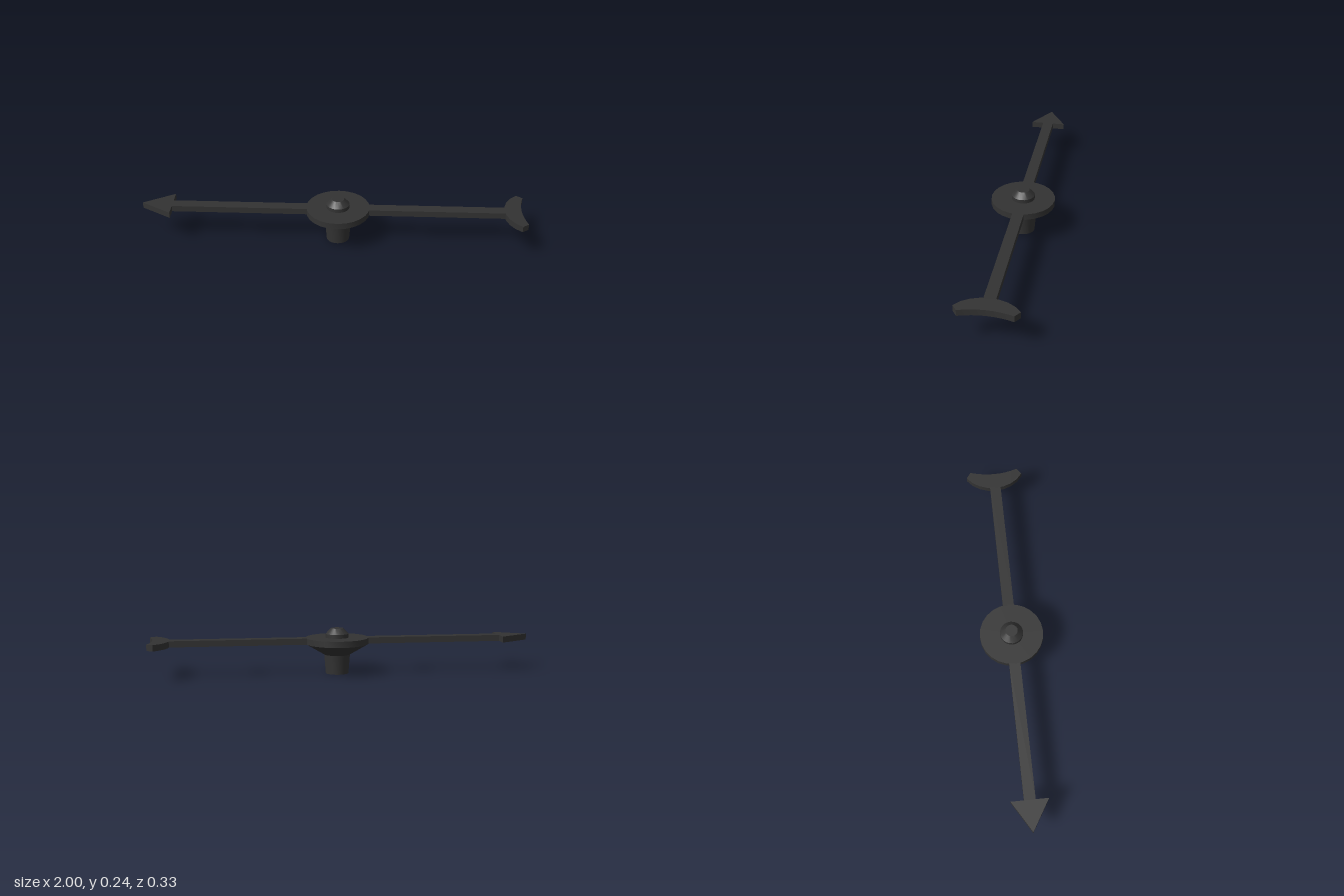
import * as THREE from 'three';
import { toCreasedNormals } from 'three/addons/utils/BufferGeometryUtils.js';

export function createModel() {
  const group = new THREE.Group();
  const material = new THREE.MeshStandardMaterial({ color: 0x333333 });
  const hubX = 0.027, bottom = 0.157, top = 0.189;

  const add = (name, geometry) => {
    const mesh = new THREE.Mesh(geometry, material);
    mesh.name = name;
    group.add(mesh);
    return mesh;
  };

  // Turned parts share the hub axis
  const turned = (name, profile, sides) => {
    const points = profile.map(([r, y]) => new THREE.Vector2(r, y));
    const geometry = toCreasedNormals(new THREE.LatheGeometry(points, sides), 0.5);
    add(name, geometry).position.x = hubX;
  };
  turned('stem', [[0, 0], [0.06, 0], [0.068, 0.1]], 24);
  turned('flange', [[0.068, 0.1], [0.165, bottom], [0.165, top], [0, top]], 24);
  turned('cap', [[0.06, top], [0.06, 0.209], [0.032, 0.238], [0, 0.238]], 24);

  // Flat parts are outlined in plan and given the pointer's thickness
  const flat = (name, shape) => {
    const geometry = new THREE.ExtrudeGeometry(shape, { depth: top - bottom, bevelEnabled: false, curveSegments: 8 });
    geometry.rotateX(-Math.PI / 2);
    geometry.translate(0, bottom, 0);
    add(name, toCreasedNormals(geometry, 0.5));
  };
  const polygon = (...corners) => new THREE.Shape(corners.map(([x, z]) => new THREE.Vector2(x, z)));

  // Shafts meet the flange from either side
  const half = 0.029;
  const shaft = (x0, x1) => polygon([x0, -half], [x1, -half], [x1, half], [x0, half]);
  flat('pointerShaft', shaft(-0.842, hubX - 0.158));
  flat('tailShaft', shaft(hubX + 0.158, 0.9));

  flat('arrowHead', polygon([-1, 0], [-0.842, -0.095], [-0.842, 0.095]));

  // Crescent with a convex inner side and a shallow concave end
  const crescent = new THREE.Shape();
  crescent.moveTo(0.968, -0.152);
  crescent.lineTo(1, -0.129);
  crescent.quadraticCurveTo(0.958, 0, 1, 0.129);
  crescent.lineTo(0.968, 0.152);
  crescent.bezierCurveTo(0.866, 0.085, 0.866, -0.085, 0.968, -0.152);
  flat('crescentTail', crescent);

  return group;
}
